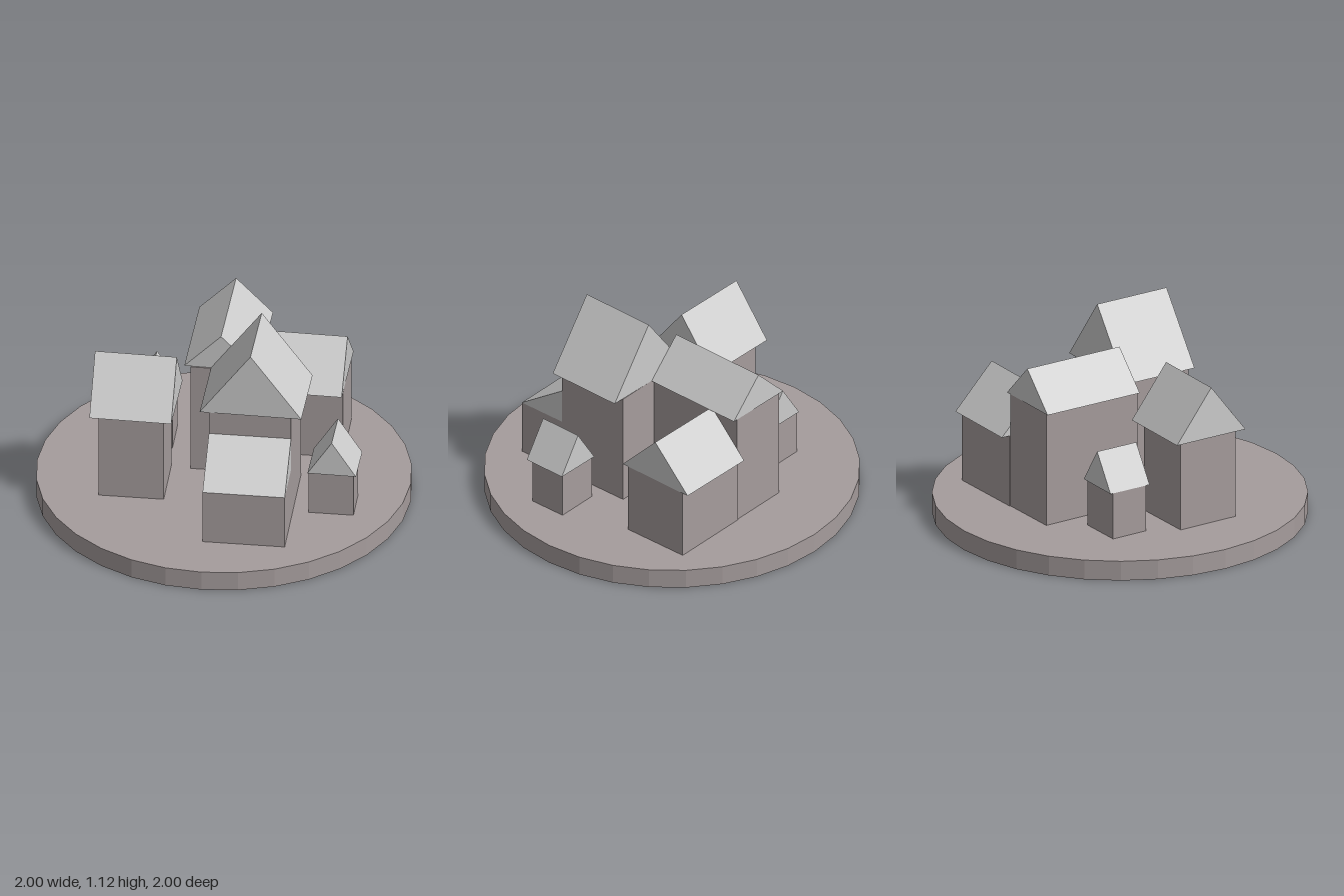
import * as THREE from 'three';

const wallMat = new THREE.MeshStandardMaterial({ color: 0xa59c9c, flatShading: true });
const roofMat = new THREE.MeshStandardMaterial({ color: 0xcccccc, flatShading: true });
const GROUND = 0.11;
const TWIST = -0.017; // roofs sit very slightly askew on their walls

// Box of wall between two x and two z limits, from the ground up to the eaves
function walls([x0, x1, z0, z1], top) {
  const mesh = new THREE.Mesh(new THREE.BoxGeometry(x1 - x0, top - GROUND, z1 - z0), wallMat);
  mesh.position.set((x0 + x1) / 2, (GROUND + top) / 2, (z0 + z1) / 2);
  mesh.name = 'walls';
  return mesh;
}

// Solid prism: a triangular section extruded and centred along its length
function prism(points, length) {
  const shape = new THREE.Shape(points.map(([x, y]) => new THREE.Vector2(x, y)));
  const geo = new THREE.ExtrudeGeometry(shape, { depth: length, bevelEnabled: false });
  return geo.translate(0, 0, -length / 2);
}

// Gable roof over a rectangle, with its ridge along 'x' or 'z'
function gableRoof([x0, x1, z0, z1], eave, ridge, axis) {
  const alongX = axis === 'x';
  const half = (alongX ? z1 - z0 : x1 - x0) / 2;
  const geo = prism([[-half, 0], [half, 0], [0, ridge - eave]], alongX ? x1 - x0 : z1 - z0);
  if (alongX) geo.rotateY(Math.PI / 2);
  const mesh = new THREE.Mesh(geo, roofMat);
  mesh.position.set((x0 + x1) / 2, eave, (z0 + z1) / 2);
  mesh.rotation.y = TWIST;
  mesh.name = 'roof';
  return mesh;
}

function house(name, wallRect, roofRect, eave, ridge, axis) {
  const group = new THREE.Group();
  group.name = name;
  group.add(walls(wallRect, eave), gableRoof(roofRect, eave, ridge, axis));
  return group;
}

export function createModel() {
  const model = new THREE.Group();
  model.name = 'village';

  // Round ground plate
  const plate = new THREE.Mesh(new THREE.CylinderGeometry(1, 1, GROUND, 32), wallMat);
  plate.position.y = GROUND / 2;
  plate.name = 'groundPlate';
  model.add(plate);

  // Large houses
  model.add(
    house('mainHouse', [-0.03, 0.41, -0.01, 0.42], [-0.075, 0.47, -0.01, 0.43], 0.75, 1.12, 'z'),
    house('backHouse', [-0.18, 0.16, -0.595, -0.01], [-0.21, 0.185, -0.6, -0.015], 0.75, 0.95, 'z'),
    house('sideHouse', [0.16, 0.61, -0.6, -0.215], [0.16, 0.612, -0.643, -0.183], 0.51, 0.75, 'x'),
    house('tallHouse', [-0.635, -0.285, -0.04, 0.31], [-0.675, -0.236, -0.085, 0.35], 0.615, 0.9, 'x')
  );

  // Two matching sheds
  for (const [x, z] of [[0.623, 0.245], [-0.412, -0.3]]) {
    model.add(house('shed',
      [x - 0.128, x + 0.112, z - 0.11, z + 0.1],
      [x - 0.13, x + 0.13, z - 0.124, z + 0.124], 0.37, 0.57, 'z'));
  }

  // Front annex with a lean-to roof against the main house
  const annex = new THREE.Group();
  annex.name = 'annex';
  const leanTo = new THREE.Mesh(
    prism([[-0.28, 0], [0, 0], [0, 0.195]], 0.44).rotateY(Math.PI / 2), roofMat);
  leanTo.position.set(0.19, 0.42, 0.42);
  leanTo.name = 'leanToRoof';
  annex.add(walls([-0.03, 0.41, 0.42, 0.7], 0.42), leanTo);
  model.add(annex);

  return model;
}
